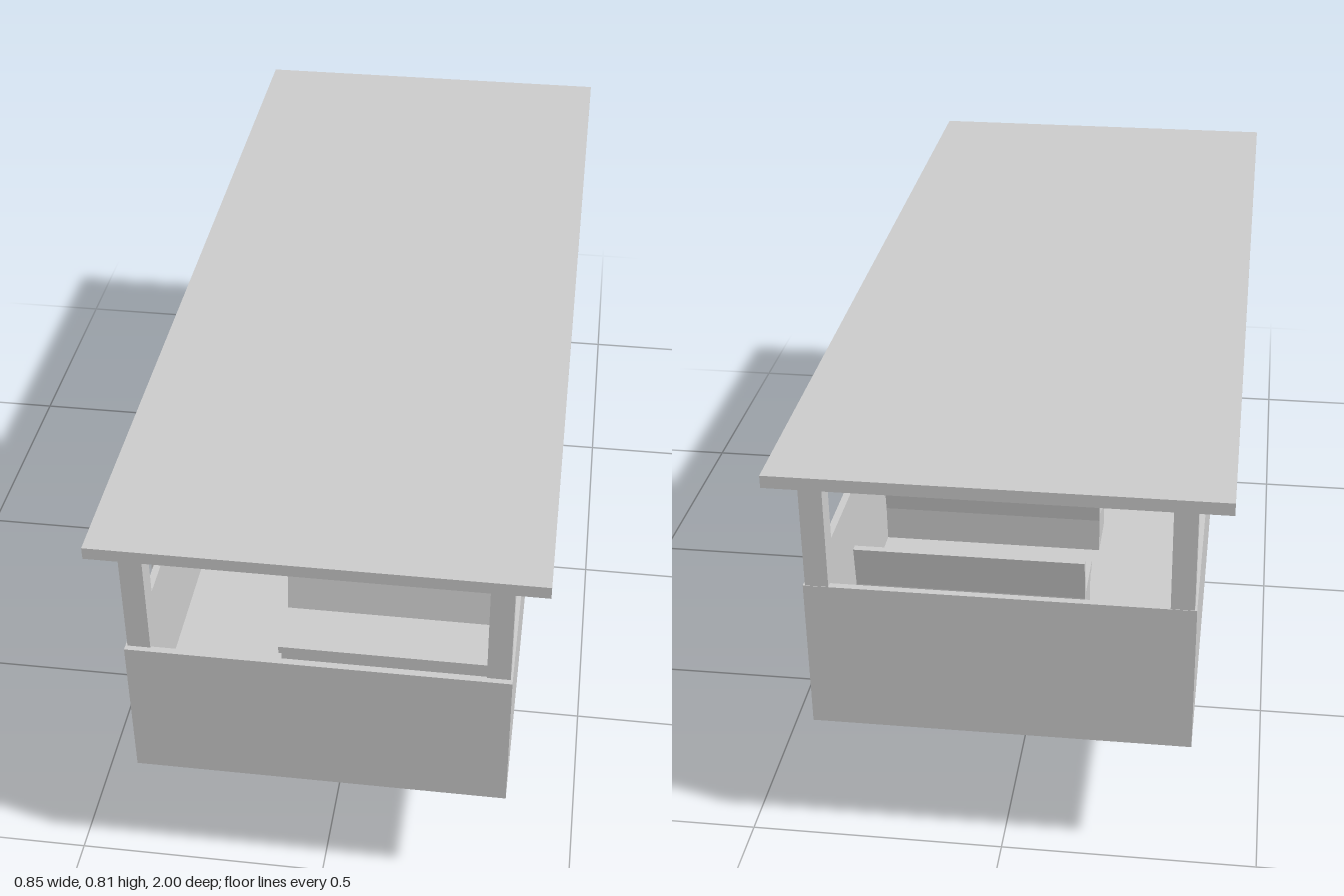
import * as THREE from 'three';
import { toCreasedNormals } from 'three/addons/utils/BufferGeometryUtils.js';

const material = new THREE.MeshStandardMaterial({ color: 0xcccccc });

// Box given by its limits on each axis
function box(parent, name, [x0, x1], [y0, y1], [z0, z1]) {
  const mesh = new THREE.Mesh(new THREE.BoxGeometry(x1 - x0, y1 - y0, z1 - z0), material);
  mesh.position.set((x0 + x1) / 2, (y0 + y1) / 2, (z0 + z1) / 2);
  mesh.name = name;
  parent.add(mesh);
  return mesh;
}

// Flanged wheel: flat inner face, grooved tread, dished outer face with hub
function wheelGeometry() {
  const profile = [
    [0, 0], [0.13, 0], [0.13, 0.008], [0.125, 0.014], [0.125, 0.049], [0.13, 0.055],
    [0.13, 0.063], [0.108, 0.063], [0.102, 0.03], [0.045, 0.03], [0.045, 0.058],
    [0.04, 0.062], [0, 0.062],
  ].map(([r, a]) => new THREE.Vector2(r, a));
  return toCreasedNormals(new THREE.LatheGeometry(profile, 48), 0.5);
}

// Bench cross-section (z forward, y up), extruded across the carriage
function benchGeometry(width) {
  const s = new THREE.Shape([
    [-0.055, 0.267], [0.055, 0.267], [0.055, 0.345], [0.085, 0.345], [0.085, 0.362],
    [-0.035, 0.362], [-0.05, 0.45], [-0.066, 0.45], [-0.055, 0.36],
  ].map(([z, y]) => new THREE.Vector2(z, y)));
  const g = new THREE.ExtrudeGeometry(s, { depth: width, bevelEnabled: false });
  g.rotateY(-Math.PI / 2); // shape x becomes +z, depth becomes -x
  return g;
}

export function createModel() {
  const model = new THREE.Group();
  model.name = 'openCarriage';

  // Body tub: floor and walls, with a doorway in the right wall
  const body = new THREE.Group();
  body.name = 'body';
  model.add(body);
  const t = 0.014, X = 0.364, low = 0.27, top = 0.578, back = -0.985, front = 1;
  const door = [0.4, 0.71];
  box(body, 'floor', [-X, X], [low, low + t], [back, front]);
  box(body, 'frontWall', [-X, X], [low, top], [front - t, front]);
  box(body, 'backWall', [-X, X], [low, top], [back, back + t]);
  box(body, 'leftWall', [X - t, X], [low, top], [back, front]);
  box(body, 'rightWallRear', [-X, -X + t], [low, top], [back, door[0]]);
  box(body, 'rightWallFront', [-X, -X + t], [low, top], [door[1], front]);

  // Gate with framing strips
  const gate = new THREE.Group();
  gate.name = 'gate';
  model.add(gate);
  box(gate, 'gatePanel', [-0.368, -0.356], [0.285, 0.565], door);
  for (const z of door) box(gate, 'gateUpright', [-0.38, -0.36], [0.289, 0.565], [z - 0.012, z + 0.012]);
  box(gate, 'gateBar', [-0.38, -0.36], [0.425, 0.445], door);

  // Roof and corner posts
  box(model, 'roof', [-0.423, 0.423], [0.791, 0.816], [-1, 0.995]);
  for (const x of [-0.338, 0.338])
    for (const z of [-0.962, 0.967])
      box(model, 'roofPost', [x - 0.022, x + 0.022], [low + t, 0.791], [z - 0.022, z + 0.022]);

  // Row of forward-facing benches beside the aisle
  const bench = benchGeometry(0.488);
  for (let i = 0; i < 6; i++) {
    const mesh = new THREE.Mesh(bench, material);
    mesh.name = 'bench';
    mesh.position.set(0.362, 0, 0.65 - i * 0.309);
    model.add(mesh);
  }

  // Four pairs of wheels
  const wheel = wheelGeometry();
  for (const side of [-1, 1])
    for (const z of [0.545, 0.195, -0.155, -0.515]) {
      const mesh = new THREE.Mesh(wheel, material);
      mesh.name = side > 0 ? 'leftWheel' : 'rightWheel';
      mesh.rotation.z = -side * Math.PI / 2;
      mesh.position.set(side * 0.21, 0.132, z);
      model.add(mesh);
    }

  return model;
}
